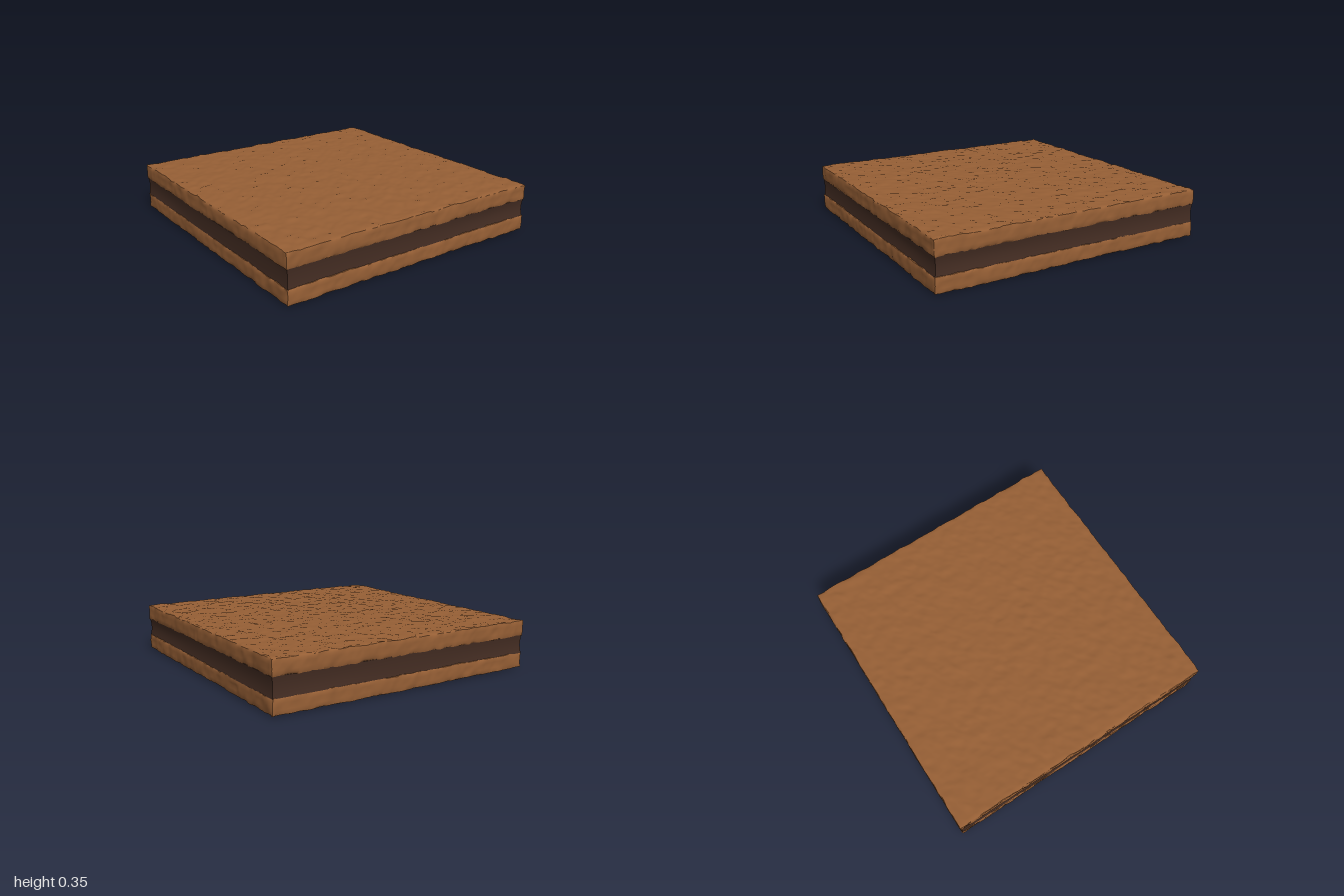
import * as THREE from 'three';
import { mergeVertices, toCreasedNormals } from 'three/addons/utils/BufferGeometryUtils.js';

const biscuit = new THREE.MeshStandardMaterial({ name: 'biscuit brown', color: 0x965f35 });
const chocolate = new THREE.MeshStandardMaterial({ name: 'dark chocolate', color: 0x432c22 });

// Repeatable value noise in -1..1
function hash(x, y, z) {
  const s = Math.sin(x * 127.1 + y * 311.7 + z * 74.7) * 43758.5453;
  return (s - Math.floor(s)) * 2 - 1;
}
function noise(x, y, z) {
  const cell = [x, y, z].map(Math.floor);
  const [u, v, w] = [x, y, z].map((c, i) => {
    const f = c - cell[i];
    return f * f * (3 - 2 * f);
  });
  let sum = 0;
  for (let i = 0; i < 8; i++) {
    const a = i & 1, b = (i >> 1) & 1, c = i >> 2;
    const weight = (a ? u : 1 - u) * (b ? v : 1 - v) * (c ? w : 1 - w);
    sum += weight * hash(cell[0] + a, cell[1] + b, cell[2] + c);
  }
  return sum;
}

// Subdivided block whose points are moved by a rule
function shapedBlock(size, height, segments, rows, move) {
  const geometry = new THREE.BoxGeometry(size, height, size, segments, rows, segments);
  const position = geometry.attributes.position;
  const p = new THREE.Vector3();
  for (let i = 0; i < position.count; i++) {
    move(p.fromBufferAttribute(position, i));
    position.setXYZ(i, p.x, p.y, p.z);
  }
  geometry.deleteAttribute('uv');
  geometry.deleteAttribute('normal');
  return mergeVertices(geometry);
}

// Thin square biscuit with a finely rough crust
function wafer(name, y, seed) {
  const half = 0.991, halfHeight = 0.055;
  const geometry = shapedBlock(half * 2, halfHeight * 2, 110, 6, (p) => {
    const rough = (k) =>
      0.004 * noise(p.x * 17 + k, p.y * 17 + seed, p.z * 17) +
      0.003 * noise(p.x * 37 + k, p.y * 37 + seed, p.z * 37);
    const offset = [rough(5), rough(50), rough(95)];
    // Soften the rim where two or more faces meet
    const onFace = [
      Math.abs(p.x) > half - 1e-4,
      Math.abs(p.y) > halfHeight - 1e-4,
      Math.abs(p.z) > half - 1e-4,
    ];
    const rim = onFace.filter(Boolean).length > 1;
    ['x', 'y', 'z'].forEach((axis, i) => {
      if (rim && onFace[i]) p[axis] -= Math.sign(p[axis]) * 0.004;
      p[axis] += offset[i];
    });
  });
  const mesh = new THREE.Mesh(toCreasedNormals(geometry, 0.9), biscuit);
  mesh.name = name;
  mesh.position.y = y;
  return mesh;
}

// Smooth filling with gently wavering, slightly hollow sides
function filling() {
  const height = 0.13;
  const geometry = shapedBlock(1.96, height, 30, 8, (p) => {
    const t = p.y / (height / 2);
    const swell = 1 + 0.006 * t * t + 0.007 * noise(p.x * 1.5 + 9, p.y * 9, p.z * 1.5 + 4);
    p.x *= swell;
    p.z *= swell;
  });
  const mesh = new THREE.Mesh(toCreasedNormals(geometry, 0.7), chocolate);
  mesh.name = 'filling';
  mesh.position.y = 0.179;
  return mesh;
}

export function createModel() {
  const model = new THREE.Group();
  model.name = 'sandwichBiscuit';
  model.add(wafer('bottomWafer', 0.065, 3), filling(), wafer('topWafer', 0.293, 40));
  return model;
}
